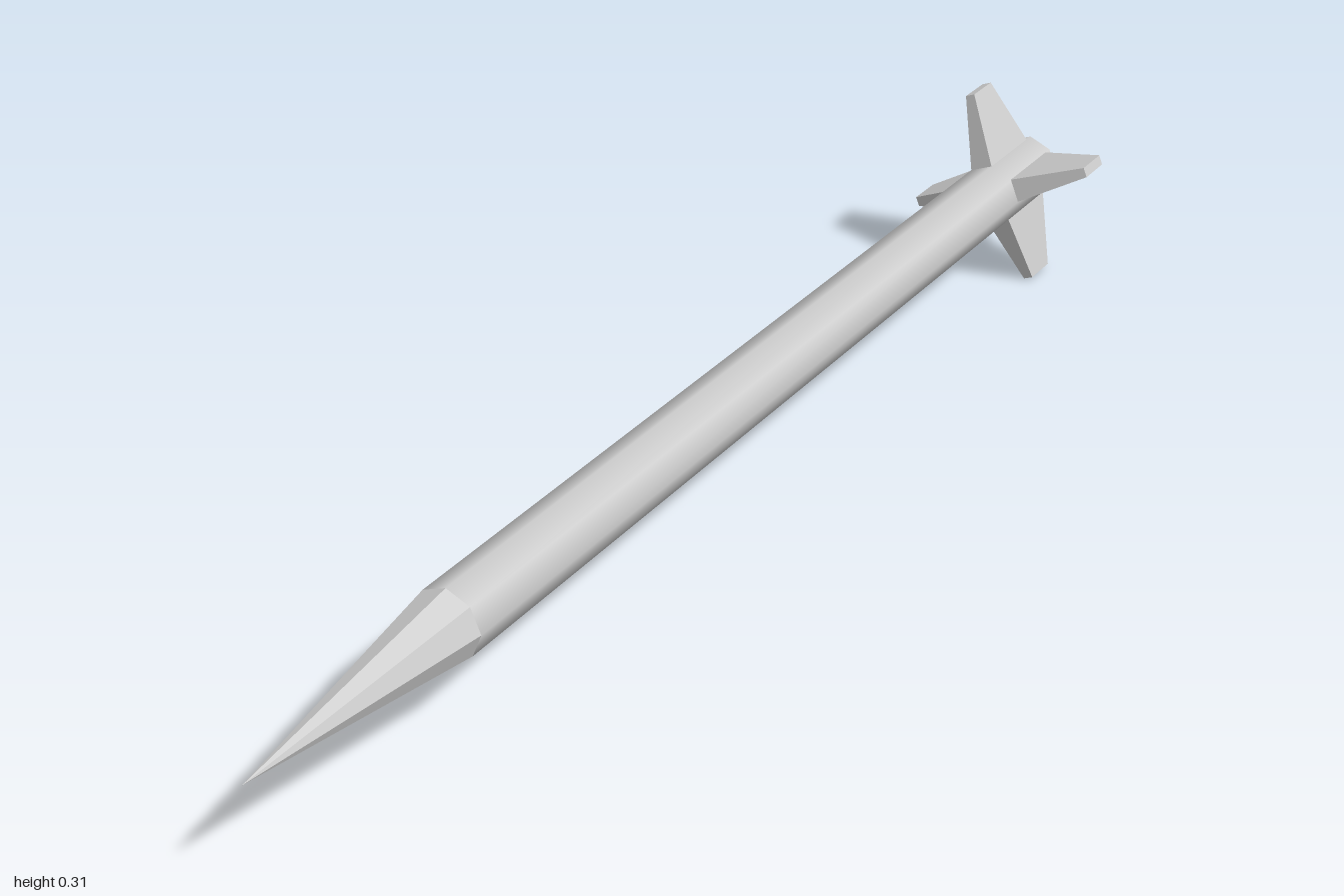
import * as THREE from 'three';

const SIDES = 8;
const RADIUS = 0.051;
const AXIS_Y = 0.155;

export function createModel() {
  const group = new THREE.Group();
  group.name = 'rocket';
  const smooth = new THREE.MeshStandardMaterial({ color: 0xcccccc });
  const flat = new THREE.MeshStandardMaterial({ color: 0xcccccc, flatShading: true });

  // Everything is arranged around the long axis (z)
  const axis = new THREE.Group();
  axis.name = 'rocketAssembly';
  axis.position.y = AXIS_Y;
  group.add(axis);

  const add = (name, geometry, material) => {
    const mesh = new THREE.Mesh(geometry, material);
    mesh.name = name;
    axis.add(mesh);
    return mesh;
  };

  // Eight-sided turned part, profile given as [radius, z] from back to front
  const turned = (profile) =>
    new THREE.LatheGeometry(profile.map(([r, z]) => new THREE.Vector2(r, z)), SIDES).rotateX(Math.PI / 2);

  add('body', turned([[RADIUS, -1], [RADIUS, 0.62]]), smooth);
  add('noseCone', turned([[RADIUS, 0.62], [0, 1]]), flat);
  // Recessed exhaust at the tail
  add('nozzle', turned([[0, -0.975], [0.019, -0.975], [RADIUS, -1]]), flat);

  // Tapered fin: box narrowed toward its tip in thickness and in length
  const root = 0.047, tip = 0.1625;
  const fin = new THREE.BoxGeometry(2, tip - root, 2);
  const pos = fin.attributes.position;
  for (let i = 0; i < pos.count; i++) {
    const outer = pos.getY(i) > 0;
    pos.setX(i, pos.getX(i) * (outer ? 0.008 : 0.0195));
    pos.setZ(i, pos.getZ(i) * (outer ? 0.03 : 0.065));
  }
  fin.translate(0, (root + tip) / 2, -0.92);
  fin.computeVertexNormals();

  // Four fins, each rooted on one facet of the body
  for (let k = 0; k < 4; k++) {
    add('fin' + (k + 1), fin, flat).rotation.z = Math.PI / 8 + (k * Math.PI) / 2;
  }
  return group;
}
